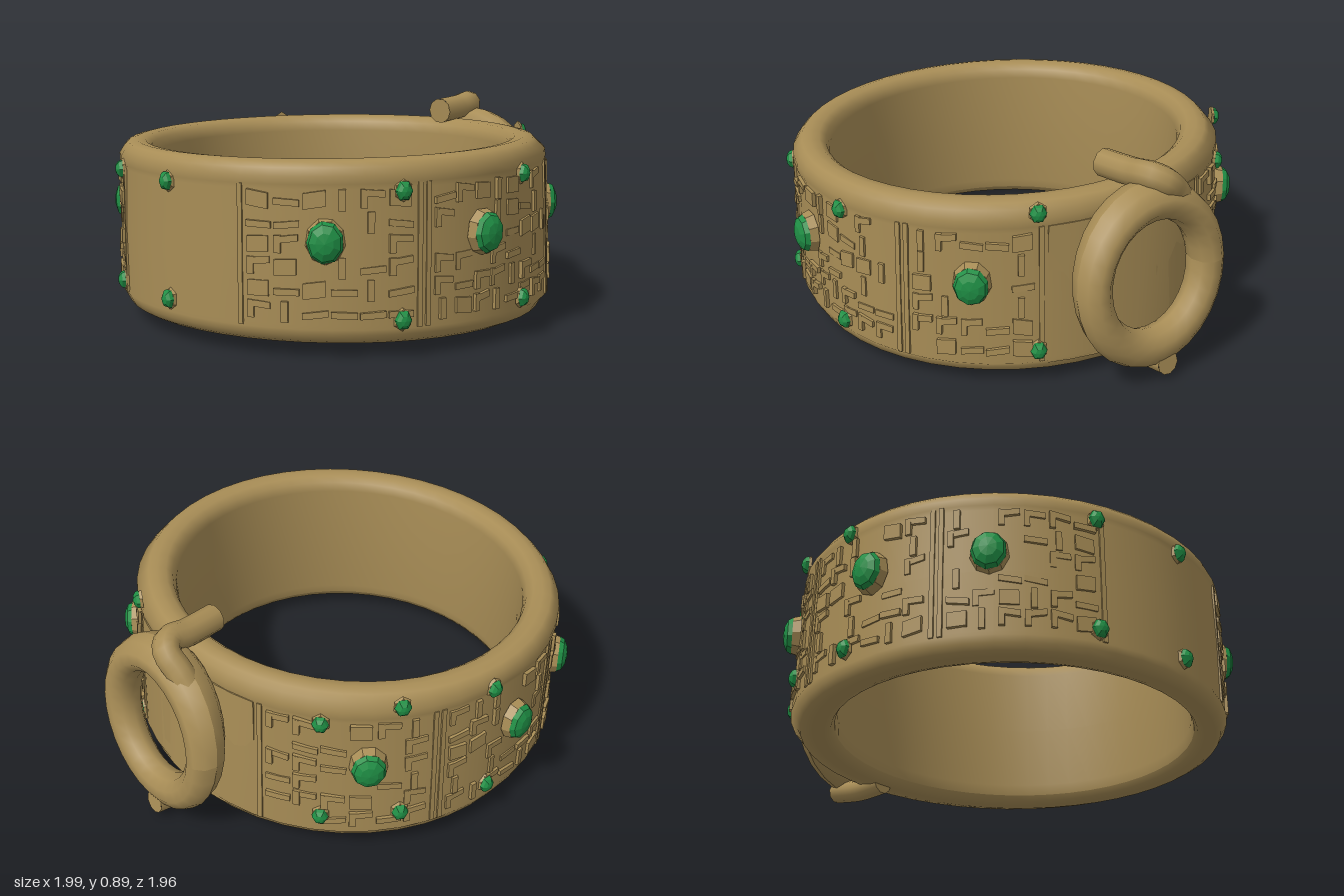
import * as THREE from 'three';
import { mergeGeometries } from 'three/addons/utils/BufferGeometryUtils.js';

const DEG = Math.PI / 180;
const CX = -0.11, CZ = 0.003, SQUASH = 0.945;

// Point on the slightly oval, tilted band (radius, angle from the front, height);
// the outer wall flares towards the bottom on the ring side and swells at the diagonals
function place(r, a, y) {
  let flare = 0;
  if (r > 0.87) {
    flare = 0.048 * Math.max(0, Math.sin(a)) * Math.min(1, Math.max(0, (0.8 - y) / 0.65));
    if (y > 0.1 && y < 0.729) flare += 0.017 * Math.abs(Math.sin(2 * a)) * (1 + 0.5 * Math.sin(a));
  }
  const x = (r + flare) * SQUASH * Math.sin(a);
  return new THREE.Vector3(CX + x, y + (y - 0.25) * 0.045 * x, CZ + (r + flare) * Math.cos(a));
}

// Raised patch curved around the band (angles in degrees)
function patch(a0, a1, y0, y1, depth, skew = 0) {
  const g = new THREE.BoxGeometry(1, 1, 1, Math.max(1, Math.ceil((a1 - a0) / 6)), 1, 1);
  const p = g.attributes.position;
  for (let i = 0; i < p.count; i++) {
    const u = p.getX(i) + 0.5, v = p.getY(i) + 0.5, w = p.getZ(i) + 0.5;
    const q = place(0.885 + (0.022 + depth) * w, (a0 + (a1 - a0) * u) * DEG, y0 + (y1 - y0) * v + skew * (u - 0.5));
    p.setXYZ(i, q.x, q.y, q.z);
  }
  g.computeVertexNormals();
  return g;
}

// Tube with flat end caps
function bar(points, radius, sides = 10) {
  const curve = new THREE.CatmullRomCurve3(points.map(p => new THREE.Vector3(...p)));
  const parts = [new THREE.TubeGeometry(curve, 24, radius, sides)];
  for (const t of [0, 1]) {
    const dir = curve.getTangent(t).multiplyScalar(t ? 1 : -1);
    const cap = new THREE.CircleGeometry(radius, sides);
    cap.applyQuaternion(new THREE.Quaternion().setFromUnitVectors(new THREE.Vector3(0, 0, 1), dir));
    const c = curve.getPoint(t);
    cap.translate(c.x, c.y, c.z);
    parts.push(cap);
  }
  return mergeGeometries(parts);
}

export function createModel() {
  const gold = new THREE.MeshStandardMaterial({ color: 0xa88d56 });
  gold.name = 'antique gold';
  const green = new THREE.MeshStandardMaterial({ color: 0x1f8f45 });
  green.name = 'emerald green';
  const model = new THREE.Group();
  model.name = 'bracelet';
  const add = (name, geo, mat, parent = model) => {
    const m = new THREE.Mesh(geo, mat);
    m.name = name;
    parent.add(m);
  };
  let seed = 7;
  const rnd = () => (seed = (seed * 16807) % 2147483647) / 2147483647;

  // Band with rounded rims
  const profile = [
    [0.775, 0.085], [0.79, 0.06], [0.82, 0.05], [0.865, 0.052], [0.888, 0.065], [0.902, 0.09],
    [0.907, 0.115], [0.903, 0.13], [0.908, 0.38], [0.903, 0.65], [0.909, 0.67],
    [0.909, 0.7], [0.9, 0.73], [0.88, 0.75], [0.845, 0.758], [0.805, 0.752], [0.778, 0.73],
    [0.765, 0.69], [0.76, 0.4], [0.765, 0.13], [0.775, 0.085],
  ].map(p => new THREE.Vector2(...p));
  const band = new THREE.LatheGeometry(profile, 48);
  const bp = band.attributes.position;
  for (let i = 0; i < bp.count; i++) {
    const x = bp.getX(i), z = bp.getZ(i);
    const q = place(Math.hypot(x, z), Math.atan2(x, z), bp.getY(i));
    bp.setXYZ(i, q.x, q.y, q.z);
  }
  add('band', band, gold);

  // Six carved panels filled with small raised bars and blocks: start, end, gem angle, gem radius
  const panels = [
    [-68, -23, -46.5, 0.893], [-22, 31, -5, 0.908], [32, 66, 49, 0.9],
    [114, 159, 141.5, 0.902], [160, 203, 185, 0.91], [204, 245, 216.5, 0.895],
  ];
  const relief = [];
  for (const [a0, a1, gem] of panels) {
    relief.push(patch(a0, a0 + 1.2, 0.12, 0.67, 0.005), patch(a1 - 1.2, a1, 0.12, 0.67, 0.005));
    const cols = Math.round((a1 - a0 - 4) / 6.5), w = (a1 - a0 - 4) / cols, h = 0.086;
    for (let c = 0; c < cols; c++) for (let r = 0; r < 6; r++) {
      const a = a0 + 2 + c * w, y = 0.14 + r * h, d = 0.003 + rnd() * 0.01, kind = rnd();
      const tilt = (rnd() - 0.5) * 0.03;
      const far = Math.hypot((a + w / 2 - gem) * DEG * 0.9, y + h / 2 - 0.46) > 0.12;
      if (!far || kind < 0.12) continue;
      if (kind < 0.4) relief.push(patch(a + 0.3, a + w * 0.95, y + 0.02, y + 0.045, d, tilt));
      else if (kind < 0.6) relief.push(patch(a + w * 0.3, a + w * 0.55, y, y + h * 0.95, d));
      else if (kind < 0.75) relief.push(patch(a + 0.5, a + w * 0.85, y + 0.012, y + h * 0.85, d, tilt));
      else relief.push(
        patch(a + 0.4, a + w * 0.3, y + 0.01, y + h * 0.9, d),
        patch(a + 0.4, a + w * 0.9, y + h * 0.6, y + h * 0.9, d, tilt));
    }
  }
  add('carvedRelief', mergeGeometries(relief), gold);

  // Smooth plate behind the ring
  add('ringPlate', patch(67, 113, 0.1, 0.67, 0.006), gold);

  // Faceted gems in tapered collars
  const setting = (name, a, y, size, r, sides, rise, dome) => {
    const g = new THREE.Group();
    g.name = name;
    g.position.copy(place(r, a * DEG, y));
    g.rotation.y = a * DEG;
    const collar = new THREE.CylinderGeometry(size * 1.02, size * 1.15, rise, sides).toNonIndexed();
    collar.rotateX(Math.PI / 2).translate(0, 0, rise / 2);
    collar.scale(1, 1.18, 1);
    collar.computeVertexNormals();
    add(name + 'Collar', collar, gold, g);
    const stone = new THREE.SphereGeometry(1, sides, 3, 0, Math.PI * 2, 0, Math.PI / 2).toNonIndexed();
    stone.rotateX(Math.PI / 2).scale(size * 1.03, size * 1.2, dome).translate(0, 0, rise);
    stone.computeVertexNormals();
    add(name + 'Stone', stone, green, g);
    model.add(g);
  };
  for (const [, , a, r] of panels) setting('largeGem', a, 0.455, 0.067, r, 9, 0.036, 0.038);
  const smallGems = [
    [-28, 0.64, 0.15], [11.5, 0.65, 0.16], [64.5, 0.725, 0.17], [-90, 0.65, 0.17],
    [130, 0.645, 0.2], [149.5, 0.725, 0.21], [176, 0.68, 0.18], [243, 0.65, 0.17],
  ];
  for (const [a, top, low] of smallGems)
    for (const y of [top, low]) setting('smallGem', a, y, 0.033, 0.903, 6, 0.012, 0.027);

  // Hanging ring, leaning outwards at the bottom and thicker at the top
  const ring = new THREE.TorusGeometry(0.285, 0.073, 10, 28);
  ring.rotateY(Math.PI / 2).scale(1, 1.05, 1);
  const rp = ring.attributes.position;
  for (let i = 0; i < rp.count; i++) {
    const y = rp.getY(i);
    rp.setXYZ(i, 0.882 - 0.135 * y + rp.getX(i) * (1.1 + 0.6 * y), y + 0.445, rp.getZ(i) + 0.008);
  }
  ring.computeVertexNormals();
  add('ring', ring, gold);

  // Hook over the top rim, blending into the ring, and tail under the bottom rim
  add('topHook', bar([[0.59, 0.815, 0.02], [0.74, 0.825, 0.0], [0.83, 0.84, -0.01],
    [0.868, 0.82, -0.05], [0.86, 0.765, -0.11], [0.852, 0.7, -0.16], [0.855, 0.64, -0.22]], 0.057), gold);
  add('bottomTail', bar([[0.67, 0.055, -0.02], [0.82, 0.055, -0.02], [0.98, 0.08, -0.02]], 0.05), gold);
  return model;
}
